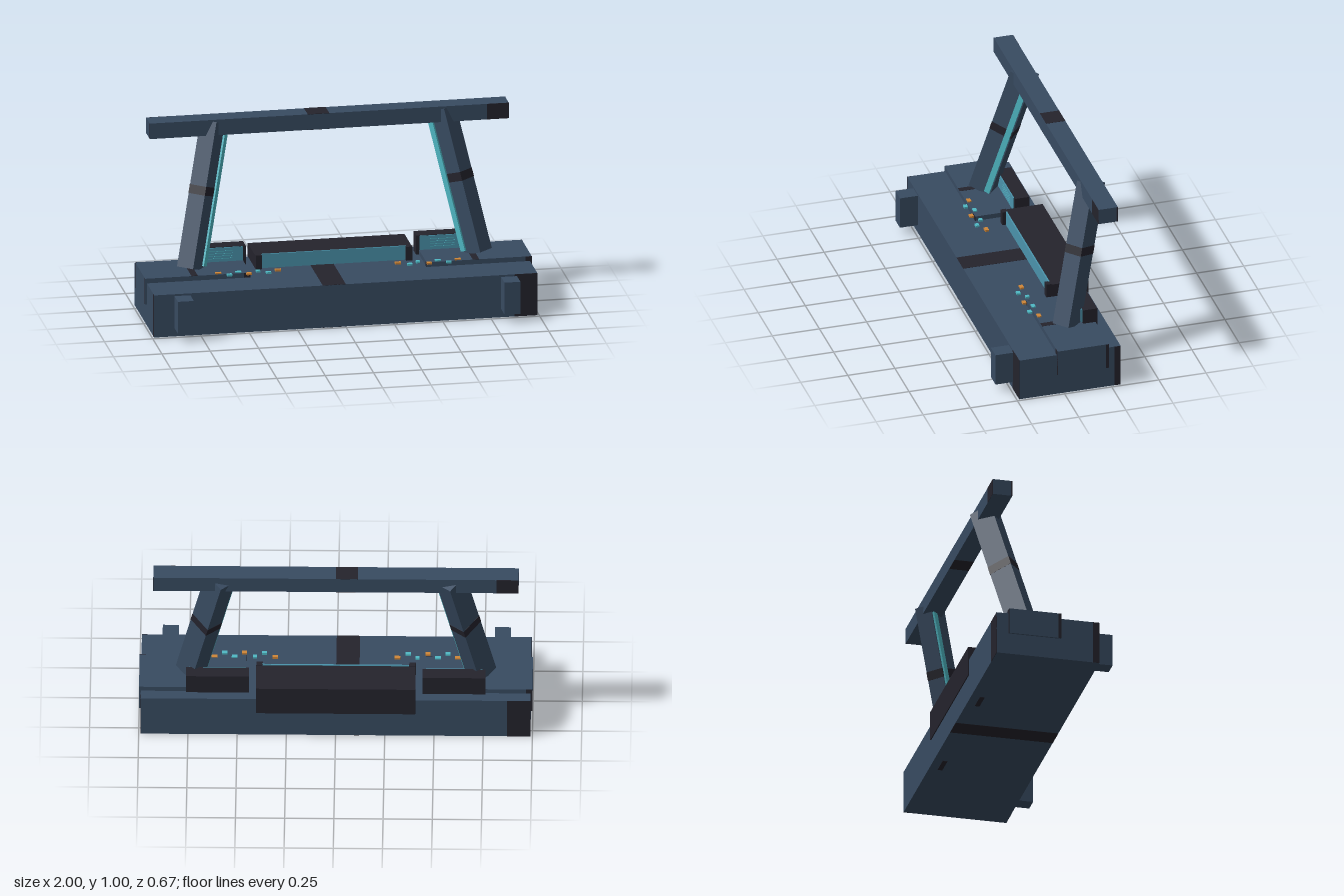
import * as THREE from 'three';

const mat = (name, color) => {
  const m = new THREE.MeshStandardMaterial({ color });
  m.name = name;
  return m;
};

export function createModel() {
  const body = mat('slate blue', 0x384b61);
  const dark = mat('charcoal', 0x24232c);
  const panel = mat('screen teal', 0x4a93ab);
  const cyan = mat('light cyan', 0x4fb8c4);
  const orange = mat('amber', 0xcf8638);
  const model = new THREE.Group();
  model.name = 'controlConsole';

  // box given by its min and max on each axis
  const box = (name, m, x0, x1, y0, y1, z0, z1, parent = model) => {
    const mesh = new THREE.Mesh(new THREE.BoxGeometry(x1 - x0, y1 - y0, z1 - z0), m);
    mesh.name = name;
    mesh.position.set((x0 + x1) / 2, (y0 + y1) / 2, (z0 + z1) / 2);
    parent.add(mesh);
    return mesh;
  };

  // box with one thin dark band on each face
  const bandedBox = (name, x0, x1, y0, y1, z0, z1) => {
    const g = new THREE.Group();
    g.name = name;
    model.add(g);
    box(name + 'Body', body, x0, x1, y0, y1, z0, z1, g);
    const w = x1 - x0, d = z1 - z0, e = 0.001, n = name + 'Band';
    box(n, dark, x1 - 0.06 * w, x1, y0, y1, z1 - e, z1 + e, g);
    box(n, dark, x0, x0 + 0.06 * w, y0, y1, z0 - e, z0 + e, g);
    for (const y of [y0, y1]) box(n, dark, x0 + 0.44 * w, x0 + 0.5 * w, y - e, y + e, z0, z1, g);
    box(n, dark, x1 - e, x1 + e, y0, y1, z0, z0 + 0.06 * d, g);
    box(n, dark, x0 - e, x0 + e, y0, y1, z1 - 0.06 * d, z1, g);
  };

  bandedBox('base', -0.99, 0.99, 0.001, 0.226, -0.3, 0.237);
  bandedBox('topBar', -0.93, 0.925, 0.916, 0.999, -0.305, -0.203);

  // central console with recessed screen
  box('centreConsole', dark, -0.405, 0.405, 0.14, 0.296, -0.305, -0.108);
  box('centreScreen', panel, -0.375, 0.375, 0.226, 0.3, -0.108, -0.1);

  for (const s of [-1, 1]) {
    const side = s < 0 ? 'right' : 'left';
    // mirrored box, given on the +x side
    const mbox = (name, m, x0, x1, ...r) =>
      s > 0 ? box(name, m, x0, x1, ...r) : box(name, m, -x1, -x0, ...r);

    if (s > 0) bandedBox('leftPod', 0.455, 0.999, 0.114, 0.251, -0.236, 0.037);
    else bandedBox('rightPod', -0.999, -0.455, 0.114, 0.251, -0.236, 0.037);
    mbox(side + 'FrontBlock', body, 0.803, 0.885, 0.045, 0.216, 0.237, 0.332);
    mbox(side + 'ScreenFrame', dark, 0.372, 0.405, 0.226, 0.3, -0.11, -0.082);

    // outer console, its screen and text-like ruled lines
    mbox(side + 'OuterConsole', dark, 0.44, 0.76, 0.226, 0.328, -0.246, -0.17);
    mbox(side + 'OuterScreen', panel, 0.457, 0.745, 0.252, 0.326, -0.17, -0.164);
    for (let i = 0; i < 4; i++)
      mbox(side + 'ScreenLine', cyan, 0.51, 0.64, 0.268 + i * 0.013, 0.27 + i * 0.013, -0.165, -0.163);

    // two rows of buttons
    const button = (m, x, z, w = 0.032) =>
      mbox(side + 'Button', m, x - w / 2, x + w / 2, 0.247, 0.257, z - 0.01, z + 0.01);
    [orange, cyan, cyan, orange].forEach((m, i) =>
      button(m, 0.31 + i * 0.103, 0.022, i === 1 ? 0.02 : 0.03));
    [cyan, orange, cyan].forEach((m, i) => button(m, 0.365 + i * 0.101, 0.055, 0.026));

    // slot under the base
    mbox(side + 'BaseSlot', dark, 0.34, 0.45, -0.001, 0.003, -0.255, -0.23);

    // leg leaning inward and back, with band and light strip
    const leg = new THREE.Group();
    leg.name = side + 'Leg';
    leg.rotation.order = 'YXZ';
    leg.rotation.set(-0.314, s * 0.72, 0);
    leg.position.set(s * 0.778, 0.27, -0.045);
    model.add(leg);
    box('legBeam', body, -0.0475, 0.0475, 0, 0.757, -0.123, 0, leg);
    box('legBand', dark, -0.0485, 0.0485, 0.3785, 0.424, -0.124, 0.001, leg);
    const a = -s * 0.046, b = -s * 0.058;
    box('legLightStrip', cyan, Math.min(a, b), Math.max(a, b), 0.02, 0.72, -0.118, -0.088, leg);
  }
  return model;
}
